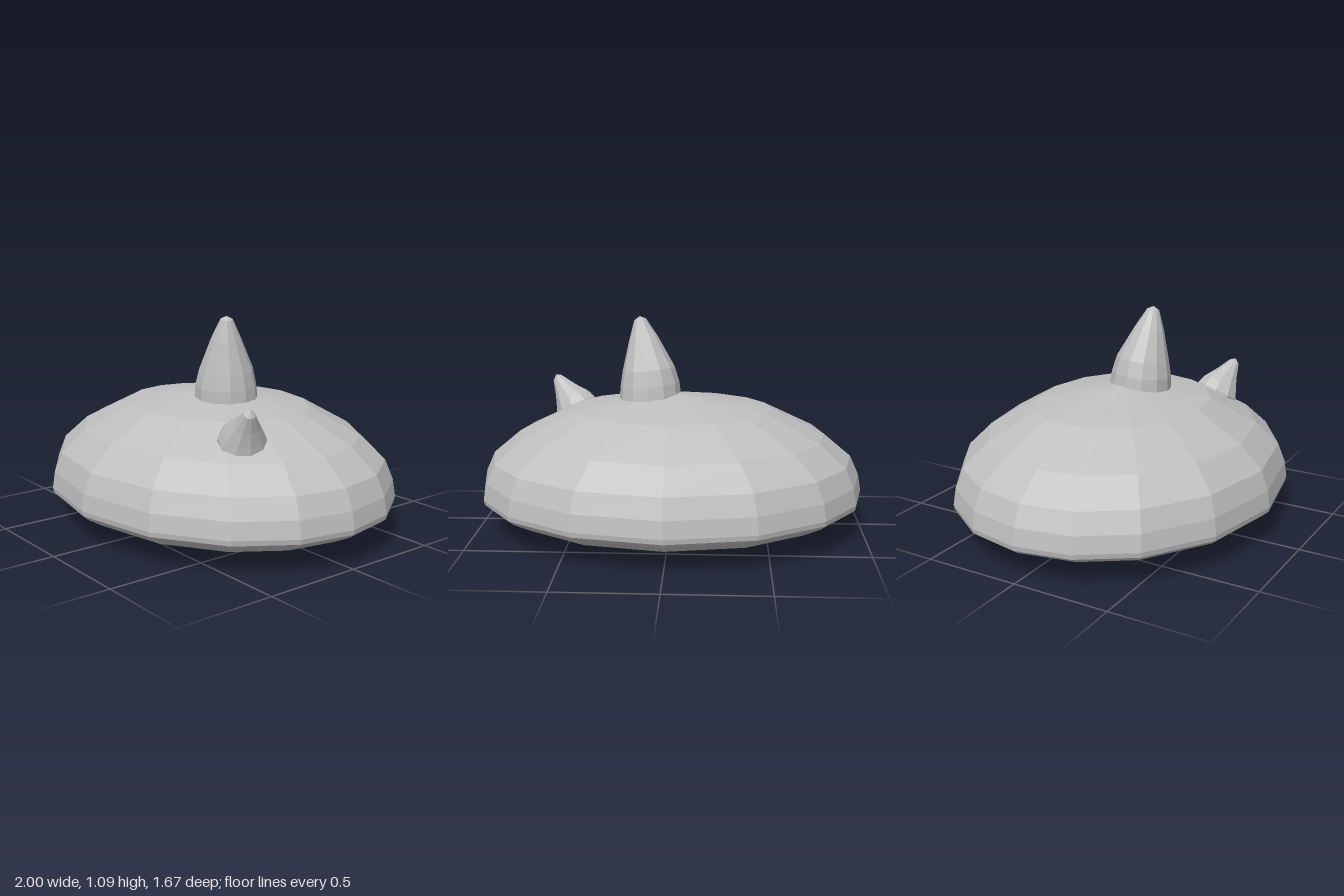
import * as THREE from 'three';

// Closed skin over rings of equal point count, capped by a centre point at each end
function loft(rings, start, end) {
  const n = rings[0].length, pos = [start, ...rings.flat(), end].flatMap(p => [p.x, p.y, p.z]);
  const idx = [], last = rings.length * n + 1;
  for (let i = 0; i < n; i++) {
    const j = (i + 1) % n;
    idx.push(0, 1 + j, 1 + i);
    for (let k = 0; k < rings.length - 1; k++) {
      const a = 1 + k * n + i, b = 1 + k * n + j;
      idx.push(a, b, b + n, a, b + n, a + n);
    }
    idx.push(last, last - n + i, last - n + j);
  }
  const g = new THREE.BufferGeometry();
  g.setAttribute('position', new THREE.Float32BufferAttribute(pos, 3));
  g.setIndex(idx);
  const flat = g.toNonIndexed();
  flat.computeVertexNormals();
  return flat;
}

// Leaning horn: levels are [x, y, z, radius], ring planes swing from one normal to another
function horn(levels, tip, fromNormal, toNormal, sides) {
  const up = new THREE.Vector3(0, 1, 0);
  const rings = levels.map(([x, y, z, r], k) => {
    const nrm = new THREE.Vector3(...fromNormal)
      .lerp(new THREE.Vector3(...toNormal), k / (levels.length - 1)).normalize();
    const q = new THREE.Quaternion().setFromUnitVectors(up, nrm);
    return Array.from({ length: sides }, (_, i) => {
      const a = i / sides * Math.PI * 2;
      return new THREE.Vector3(Math.sin(a) * r, 0, Math.cos(a) * r)
        .applyQuaternion(q).add(new THREE.Vector3(x, y, z));
    });
  });
  const [x, y, z] = levels[0];
  return loft(rings, new THREE.Vector3(x, y, z), new THREE.Vector3(...tip));
}

export function createModel() {
  const group = new THREE.Group();
  const grey = new THREE.MeshStandardMaterial({ color: 0xbfbfbf, flatShading: true });
  grey.name = 'grey';
  const add = (name, geometry) => {
    const mesh = new THREE.Mesh(geometry, grey);
    mesh.name = name;
    group.add(mesh);
  };

  // Oval domed body with sixteen unevenly spaced sides
  const quarter = [0, 26, 50, 70.5];
  const angles = [
    ...quarter, 90, ...quarter.slice(1).reverse().map(a => 180 - a),
    ...quarter.map(a => 180 + a), 270, ...quarter.slice(1).reverse().map(a => 360 - a),
  ].map(THREE.MathUtils.degToRad);
  const profile = [
    [0.87, 0.095], [0.965, 0.142], [0.995, 0.165], [1, 0.19],
    [0.985, 0.275], [0.94, 0.375], [0.8, 0.492], [0.52, 0.627],
  ];
  const bodyRings = profile.map(([r, y]) =>
    angles.map(a => new THREE.Vector3(Math.sin(a) * r, y, Math.cos(a) * r * 0.835)));
  add('body', loft(bodyRings, new THREE.Vector3(0, 0, 0), new THREE.Vector3(0, 0.71, 0)));

  // Tall horn near the middle of the dome
  add('tallHorn', horn([
    [0.108, 0.62, 0.033, 0.16], [0.11, 0.665, 0.035, 0.163], [0.113, 0.74, 0.04, 0.156],
    [0.12, 0.82, 0.044, 0.138], [0.146, 0.975, 0.066, 0.078], [0.165, 1.076, 0.078, 0.032],
  ], [0.167, 1.093, 0.08], [0.06, 1, 0.04], [0.15, 1, 0.1], 12));

  // Short horn on the front left slope
  add('shortHorn', horn([
    [0.525, 0.54, 0.275, 0.115], [0.538, 0.567, 0.283, 0.118], [0.56, 0.605, 0.292, 0.1],
    [0.602, 0.655, 0.31, 0.063], [0.648, 0.716, 0.332, 0.028],
  ], [0.657, 0.735, 0.336], [0.4, 0.9, 0.25], [0.6, 0.75, 0.25], 10));

  return group;
}
